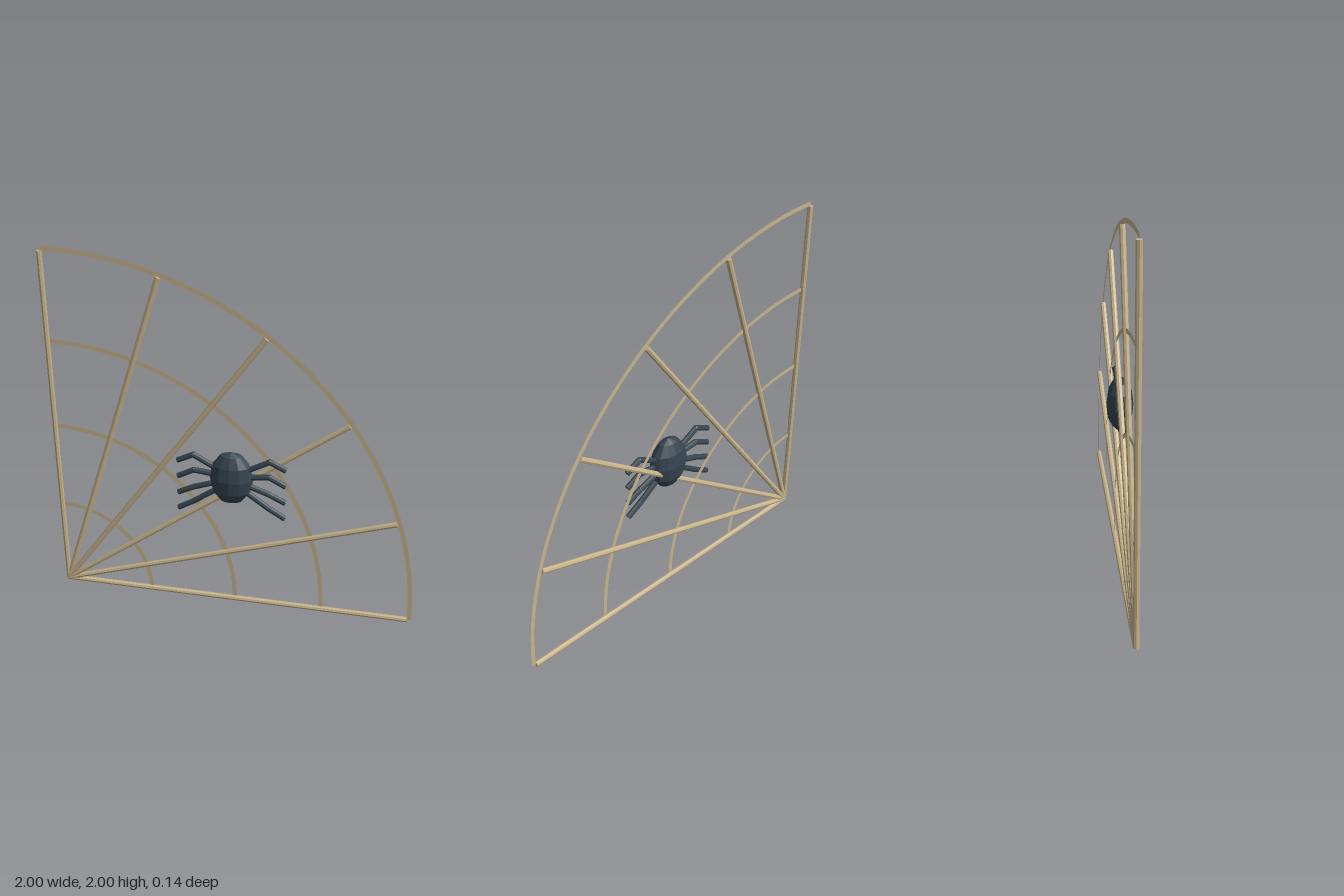
import * as THREE from 'three';

const tan = new THREE.MeshStandardMaterial({ color: 0xc8b48c, flatShading: true, side: THREE.DoubleSide });
const dark = new THREE.MeshStandardMaterial({ color: 0x36454f, flatShading: true });

// straight rod between two points
function rod(name, a, b, radius, material) {
  const dir = new THREE.Vector3().subVectors(b, a);
  const mesh = new THREE.Mesh(new THREE.CylinderGeometry(radius, radius, dir.length(), 8), material);
  mesh.position.addVectors(a, b).multiplyScalar(0.5);
  mesh.quaternion.setFromUnitVectors(new THREE.Vector3(0, 1, 0), dir.normalize());
  mesh.name = name;
  return mesh;
}

function createWeb() {
  const web = new THREE.Group();
  web.name = 'web';
  web.position.set(-0.985, 0.015, -0.032);

  // spokes fanning out over a quarter circle
  for (let i = 0; i <= 5; i++) {
    const a = (i / 5) * Math.PI / 2;
    const end = new THREE.Vector3(Math.cos(a), Math.sin(a), 0).multiplyScalar(1.962);
    web.add(rod('spoke', new THREE.Vector3(), end, 0.015, tan));
  }

  // flat concentric quarter rings
  for (let i = 0; i < 4; i++) {
    const r = 0.504 + i * 0.49;
    const ring = new THREE.Mesh(new THREE.RingGeometry(r - 0.012, r + 0.012, 32, 1, 0, Math.PI / 2), tan);
    ring.name = 'webRing';
    web.add(ring);
  }
  return web;
}

function createSpider() {
  const spider = new THREE.Group();
  spider.name = 'spider';
  spider.position.set(-0.005, 0.815, -0.002);

  // flattened oval body
  const body = new THREE.Mesh(new THREE.SphereGeometry(1, 12, 6), dark);
  body.scale.set(0.118, 0.155, 0.072);
  body.name = 'body';
  spider.add(body);

  // legs: heights at root, knee and foot
  const legs = [
    [0.045, 0.118, 0.076],
    [0.012, 0.026, -0.02],
    [-0.03, -0.078, -0.12],
    [-0.07, -0.165, -0.216],
  ];
  for (const side of [1, -1]) {
    for (const [root, knee, foot] of legs) {
      const leg = new THREE.Group();
      leg.name = side > 0 ? 'leftLeg' : 'rightLeg';
      const p = [[0.07, root], [0.205, knee], [0.292, foot]].map(([x, y]) => new THREE.Vector3(side * x, y, 0));
      leg.add(rod('upperLeg', p[0], p[1], 0.016, dark));
      leg.add(rod('lowerLeg', p[1], p[2], 0.016, dark));
      // knee joint
      const joint = new THREE.Mesh(new THREE.SphereGeometry(0.016, 8, 6), dark);
      joint.position.copy(p[1]);
      joint.name = 'knee';
      leg.add(joint);
      spider.add(leg);
    }
  }
  return spider;
}

export function createModel() {
  const model = new THREE.Group();
  model.name = 'spiderWeb';
  model.add(createWeb(), createSpider());
  return model;
}
